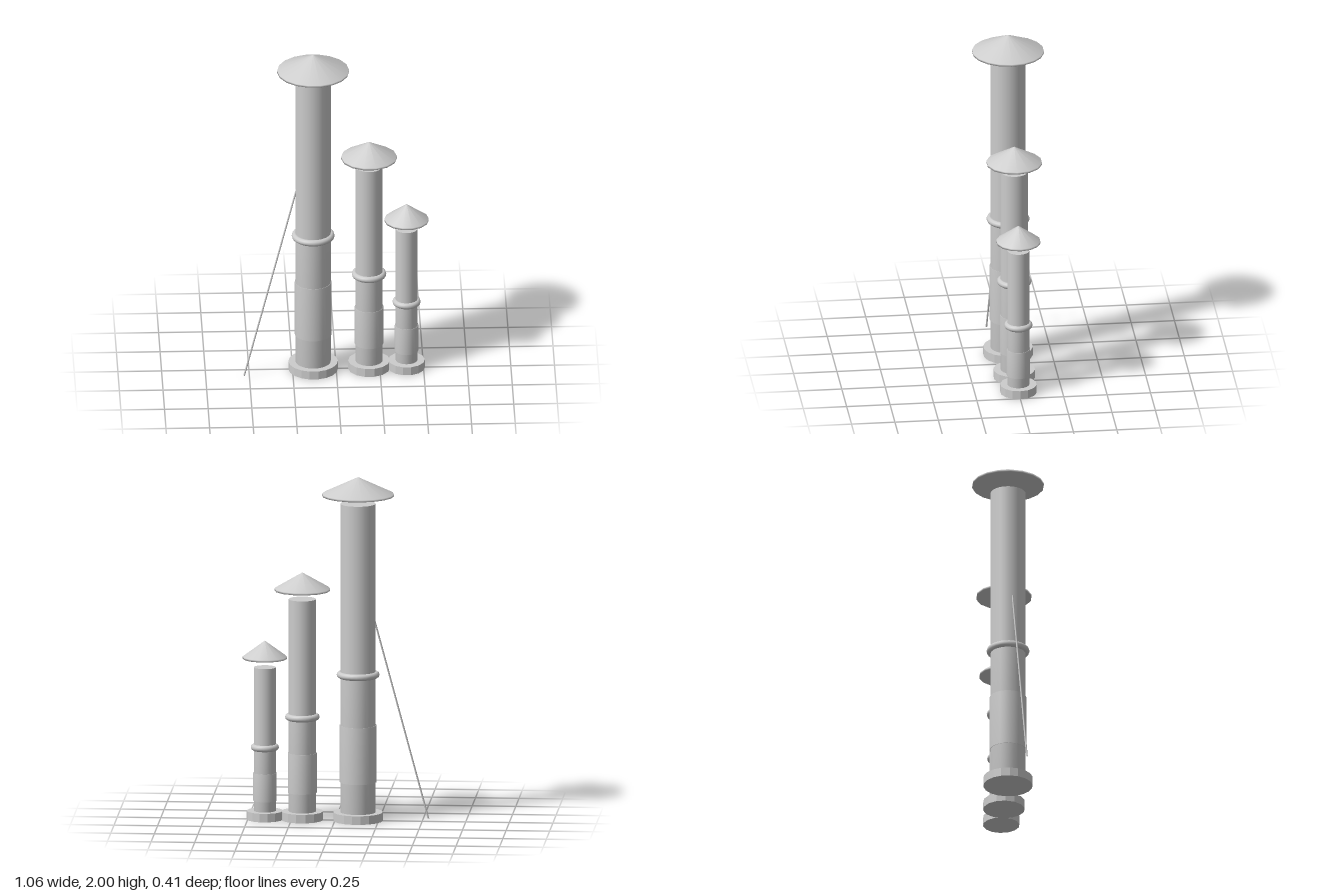
import * as THREE from 'three';

const metal = new THREE.MeshStandardMaterial({ color: 0xcccccc });
metal.name = 'pale grey metal';

function add(parent, name, geometry, y = 0) {
  const mesh = new THREE.Mesh(geometry, metal);
  mesh.name = name;
  mesh.position.y = y;
  parent.add(mesh);
  return mesh;
}

// Smooth turned shape from [radius, height] pairs, listed bottom to top
function turned(points, sides) {
  const profile = points.map(([r, y]) => new THREE.Vector2(r, y));
  return new THREE.LatheGeometry(profile, sides, Math.PI / 2);
}

function createChimney({ name, x, r, top, capR, capY, peak, baseR, ringY, ringR, sleeve, sides }) {
  const g = new THREE.Group();
  g.name = name;
  g.position.x = x;

  // Faceted foot
  const foot = new THREE.CylinderGeometry(baseR, baseR, 0.05, sides, 1, false, Math.PI / 2).toNonIndexed();
  foot.computeVertexNormals();
  add(g, 'foot', foot, 0.025);

  // Lower pipe flares into a flange hidden inside the collar
  add(g, 'lowerPipe', turned([[0, 0.01], [r, 0.01], [r, ringY], [r + 0.012, ringY]], 24));

  // Slightly wider sleeve with softened ends
  const [s0, s1] = sleeve;
  const sr = r + 0.005;
  add(g, 'sleeve', turned([[r - 0.002, s0], [sr, s0], [sr, s1], [r - 0.002, s1]], 24));

  // Upper pipe and rounded collar
  add(g, 'upperPipe', new THREE.CylinderGeometry(r, r, top - ringY, 24), (top + ringY) / 2);
  const collar = new THREE.TorusGeometry(ringR - 0.019, 0.019, 10, 28);
  collar.rotateX(-Math.PI / 2);
  add(g, 'collar', collar, ringY);

  // Conical rain cap floating over the opening
  add(g, 'rainCap', turned([[0, capY], [capR, capY], [capR, capY + 0.012], [0, peak]], sides));
  return g;
}

export function createModel() {
  const model = new THREE.Group();
  model.name = 'chimneys';

  const chimneys = [
    { name: 'tallChimney', x: -0.132, r: 0.101, top: 1.845, capR: 0.206, capY: 1.89, peak: 2,
      baseR: 0.142, ringY: 0.85, ringR: 0.123, sleeve: [0.225, 0.555], sides: 18 },
    { name: 'middleChimney', x: 0.188, r: 0.078, top: 1.285, capR: 0.16, capY: 1.335, peak: 1.44,
      baseR: 0.12, ringY: 0.6, ringR: 0.099, sleeve: [0.16, 0.39], sides: 14 },
    { name: 'shortChimney', x: 0.403, r: 0.063, top: 0.885, capR: 0.127, capY: 0.935, peak: 1.04,
      baseR: 0.105, ringY: 0.42, ringR: 0.081, sleeve: [0.11, 0.27], sides: 14 },
  ];
  chimneys.forEach((c) => model.add(createChimney(c)));

  // Guy wire from the ground to the tall chimney
  const wire = new THREE.LineCurve3(new THREE.Vector3(-0.53, 0.002, 0.08), new THREE.Vector3(-0.226, 1.16, 0.019));
  add(model, 'guyWire', new THREE.TubeGeometry(wire, 1, 0.005, 8));
  return model;
}
